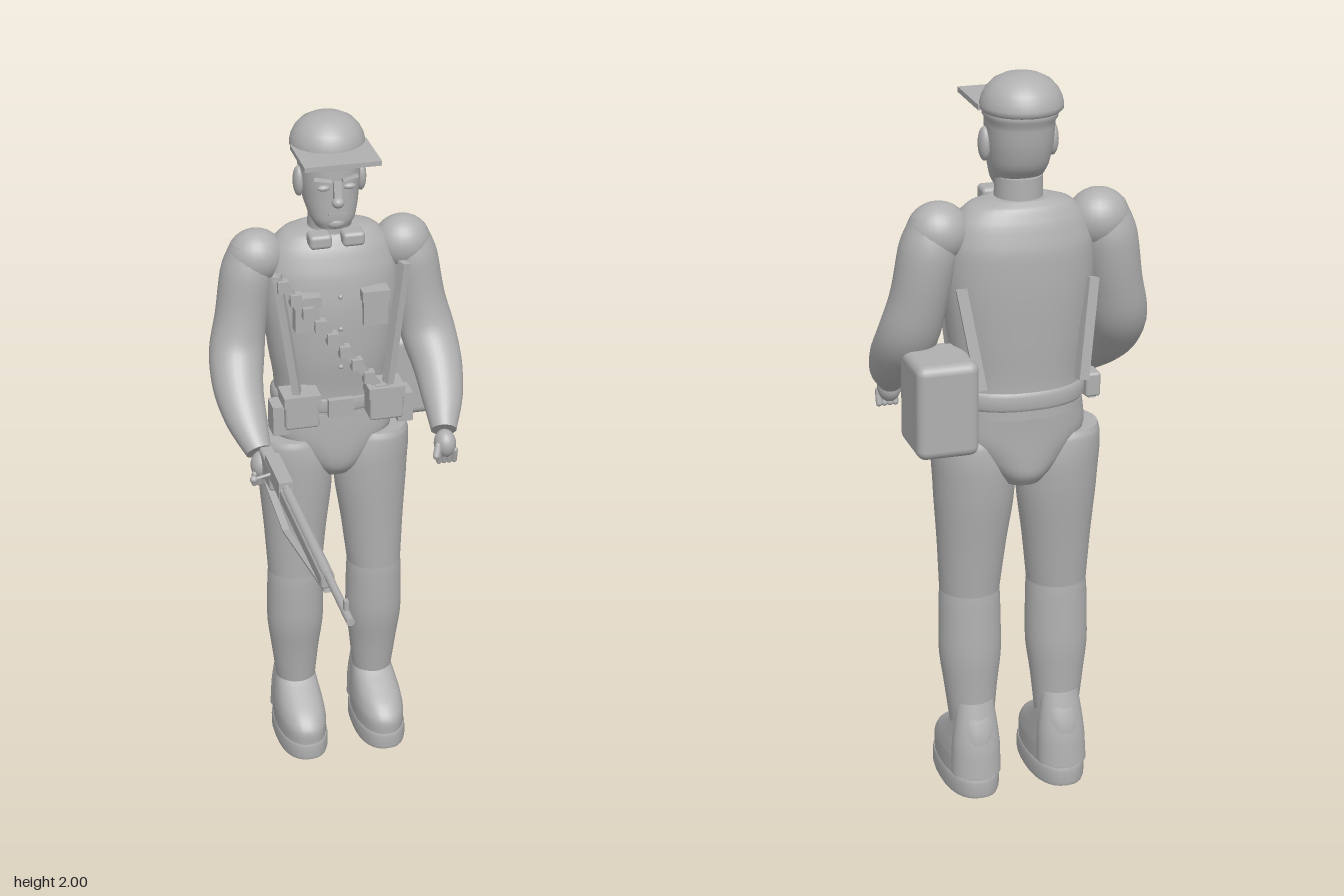
import * as THREE from 'three';
import { RoundedBoxGeometry } from 'three/addons/geometries/RoundedBoxGeometry.js';

const V = (x, y, z) => new THREE.Vector3(x, y, z);

export function createModel() {
  const grey = new THREE.MeshStandardMaterial({ color: 0xb0b0b0 });
  grey.name = 'plain grey';
  const model = new THREE.Group();

  const add = (name, geo, x = 0, y = 0, z = 0, parent = model) => {
    const m = new THREE.Mesh(geo, grey);
    m.name = name;
    m.position.set(x, y, z);
    parent.add(m);
    return m;
  };
  const box = (name, w, h, d, x, y, z, parent) => add(name, new THREE.BoxGeometry(w, h, d), x, y, z, parent);
  const soft = (name, w, h, d, r, x, y, z, parent) => add(name, new RoundedBoxGeometry(w, h, d, 3, r), x, y, z, parent);
  const ball = (name, rx, ry, rz, x, y, z, parent) => {
    const m = add(name, new THREE.SphereGeometry(1, 24, 16), x, y, z, parent);
    m.scale.set(rx, ry, rz);
    return m;
  };
  // straight part running from a to b
  const between = (name, geo, a, b, parent) => {
    const mid = a.clone().add(b).multiplyScalar(0.5);
    const m = add(name, geo, mid.x, mid.y, mid.z, parent);
    m.quaternion.setFromUnitVectors(V(0, 1, 0), b.clone().sub(a).normalize());
    return m;
  };
  const bar = (name, a, b, w, d, parent) => between(name, new THREE.BoxGeometry(w, a.distanceTo(b), d), a, b, parent);
  const rod = (name, a, b, r, parent) => between(name, new THREE.CylinderGeometry(r, r, a.distanceTo(b), 16), a, b, parent);

  // closed skin over rings [x, y, z, rx, rz]; flat rings run upward, bent ones stand square to the path
  const loft = (rings, { power = 2, bent = false, smooth = 4, seg = 32 } = {}) => {
    const path = new THREE.CatmullRomCurve3(rings.map(r => V(r[0], r[1], r[2])));
    const size = new THREE.CatmullRomCurve3(rings.map(r => V(r[3], r[4], 0)));
    const n = (rings.length - 1) * smooth;
    const pos = [], idx = [];
    const pow = v => Math.sign(v) * Math.abs(v) ** (2 / power);
    for (let i = 0; i <= n; i++) {
      const c = path.getPoint(i / n), s = size.getPoint(i / n);
      const t = bent ? path.getTangent(i / n) : V(0, 1, 0);
      const u = V(1, 0, 0).addScaledVector(t, -t.x).normalize();
      const w = t.clone().cross(u);
      for (let j = 0; j < seg; j++) {
        const a = j / seg * Math.PI * 2;
        const p = c.clone().addScaledVector(u, pow(Math.cos(a)) * s.x).addScaledVector(w, pow(Math.sin(a)) * s.y);
        pos.push(p.x, p.y, p.z);
      }
    }
    for (let i = 0; i < n; i++) for (let j = 0; j < seg; j++) {
      const k = (j + 1) % seg, a = i * seg + j, b = i * seg + k;
      idx.push(a, b, a + seg, b, b + seg, a + seg);
    }
    // end caps with their own corners for a sharp rim
    for (const end of [0, 1]) {
      const c = path.getPoint(end), base = pos.length / 3, from = end * n * seg * 3;
      pos.push(...pos.slice(from, from + seg * 3), c.x, c.y, c.z);
      for (let j = 0; j < seg; j++) {
        const k = (j + 1) % seg;
        idx.push(base + seg, base + (end ? j : k), base + (end ? k : j));
      }
    }
    const g = new THREE.BufferGeometry();
    g.setAttribute('position', new THREE.Float32BufferAttribute(pos, 3));
    g.setIndex(idx);
    g.computeVertexNormals();
    return g;
  };

  // torso and pelvis
  add('torso', loft([
    [0, 1.1, -0.555, 0.17, 0.115], [0, 1.18, -0.552, 0.168, 0.115], [0, 1.3, -0.548, 0.185, 0.125],
    [0, 1.45, -0.55, 0.2, 0.128], [0, 1.55, -0.555, 0.198, 0.12], [0, 1.62, -0.558, 0.175, 0.1],
    [0, 1.66, -0.56, 0.135, 0.08], [0, 1.675, -0.56, 0.08, 0.06]], { power: 2.2 }));
  add('pelvis', loft([
    [0, 0.905, -0.555, 0.06, 0.085], [0, 0.935, -0.553, 0.085, 0.108], [0, 0.98, -0.55, 0.13, 0.115],
    [0, 1.05, -0.55, 0.18, 0.115], [0, 1.12, -0.553, 0.172, 0.115]], { power: 2.2 }));
  add('belt', loft([
    [0, 1.125, -0.555, 0.17, 0.115], [0, 1.135, -0.555, 0.178, 0.121], [0, 1.165, -0.555, 0.178, 0.121],
    [0, 1.175, -0.555, 0.17, 0.115]], { power: 2.2, smooth: 1 }));
  box('buckle', 0.075, 0.055, 0.02, 0, 1.148, -0.428);
  for (const y of [1.28, 1.4, 1.5]) ball('coatButton', 0.007, 0.007, 0.007, 0, y, -0.422);

  // neck, head and cap
  add('neck', new THREE.CylinderGeometry(0.062, 0.065, 0.12, 32), 0, 1.67, -0.55);
  add('head', loft([
    [0, 1.69, -0.515, 0.05, 0.05], [0, 1.715, -0.52, 0.064, 0.064], [0, 1.76, -0.54, 0.077, 0.085],
    [0, 1.82, -0.55, 0.085, 0.094], [0, 1.88, -0.555, 0.088, 0.097], [0, 1.92, -0.56, 0.088, 0.097]], { power: 2.3 }));
  const dome = [[0.0001, 1.905], [0.1, 1.905], [0.107, 1.912], [0.107, 1.922], [0.103, 1.94], [0.093, 1.96],
    [0.075, 1.98], [0.05, 1.993], [0.025, 1.999], [0.0001, 2]].map(p => new THREE.Vector2(...p));
  add('cap', new THREE.LatheGeometry(dome, 40), 0, 0, -0.57);
  box('capVisor', 0.22, 0.014, 0.18, 0, 1.913, -0.467);
  ball('noseTip', 0.018, 0.016, 0.018, 0, 1.78, -0.443);
  bar('noseBridge', V(0, 1.785, -0.447), V(0, 1.84, -0.458), 0.022, 0.02);
  box('mouth', 0.05, 0.008, 0.012, 0, 1.74, -0.459);
  ball('chin', 0.03, 0.02, 0.02, 0, 1.71, -0.473);

  for (const s of [-1, 1]) {
    const side = s > 0 ? 'left' : 'right';
    const P = (x, y, z) => V(s * x, y, z);
    const ring = r => [s * r[0], ...r.slice(1)];

    // face and collar
    ball(side + 'Ear', 0.016, 0.045, 0.026, s * 0.09, 1.815, -0.545);
    ball(side + 'Eye', 0.018, 0.009, 0.01, s * 0.037, 1.82, -0.46);
    bar(side + 'Brow', P(0.015, 1.841, -0.455), P(0.062, 1.846, -0.468), 0.01, 0.014);
    soft(side + 'CollarTab', 0.065, 0.042, 0.06, 0.012, s * 0.048, 1.66, -0.475);

    // arm and shoulder
    ball(side + 'Shoulder', 0.083, 0.08, 0.076, s * 0.215, 1.595, -0.555);
    add(side + 'Arm', loft([
      [0.225, 1.63, -0.555, 0.06, 0.06], [0.243, 1.54, -0.555, 0.077, 0.079], [0.264, 1.42, -0.545, 0.075, 0.076],
      [0.284, 1.32, -0.52, 0.08, 0.075], [0.296, 1.24, -0.455, 0.073, 0.068],
      [0.29, 1.17, -0.375, 0.06, 0.054], [0.273, 1.105, -0.295, 0.037, 0.036]].map(ring), { bent: true }));

    // hand with curled fingers
    const hand = new THREE.Group();
    hand.name = side + 'Hand';
    model.add(hand);
    ball('palm', 0.032, 0.042, 0.038, s * 0.27, 1.075, -0.27, hand);
    for (let i = 0; i < 4; i++) {
      const x = 0.25 + i * 0.015;
      between('finger', new THREE.CapsuleGeometry(0.009, 0.035, 4, 10),
        P(x, 1.065, -0.25), P(x, 1.018, -0.262), hand);
    }
    between('thumb', new THREE.CapsuleGeometry(0.011, 0.03, 4, 10), P(0.248, 1.085, -0.255), P(0.235, 1.045, -0.238), hand);

    // leg: thigh, shin and boot
    add(side + 'Thigh', loft([
      [0.122, 0.58, -0.526, 0.081, 0.08], [0.118, 0.72, -0.532, 0.093, 0.09], [0.114, 0.86, -0.538, 0.108, 0.102],
      [0.117, 0.95, -0.54, 0.111, 0.106], [0.128, 1.015, -0.54, 0.1, 0.102],
      [0.13, 1.035, -0.54, 0.092, 0.094]].map(ring)));
    add(side + 'Shin', loft([
      [0.12, 0.18, -0.547, 0.058, 0.06], [0.122, 0.3, -0.54, 0.072, 0.07], [0.122, 0.42, -0.532, 0.085, 0.082],
      [0.122, 0.55, -0.527, 0.083, 0.081], [0.122, 0.6, -0.526, 0.079, 0.078]].map(ring)));
    add(side + 'Sole', loft([
      [0.122, 0, -0.495, 0.074, 0.152], [0.122, 0.01, -0.495, 0.077, 0.155], [0.122, 0.042, -0.495, 0.077, 0.155],
      [0.122, 0.052, -0.495, 0.074, 0.152]].map(ring), { power: 2.4, smooth: 1 }));
    add(side + 'Boot', loft([
      [0.122, 0.045, -0.495, 0.073, 0.15], [0.122, 0.09, -0.495, 0.074, 0.15], [0.122, 0.13, -0.51, 0.071, 0.132],
      [0.121, 0.165, -0.537, 0.065, 0.102], [0.12, 0.2, -0.562, 0.059, 0.068],
      [0.12, 0.25, -0.575, 0.05, 0.036]].map(ring), { power: 2.3 }));
    add(side + 'HeelPatch', loft([
      [0.122, 0.06, -0.593, 0.068, 0.058], [0.121, 0.14, -0.587, 0.066, 0.056],
      [0.12, 0.265, -0.58, 0.05, 0.03]].map(ring)));

    // harness, pockets and belt pouches
    bar(side + 'FrontStrap', P(0.185, 1.59, -0.415), P(0.132, 1.2, -0.405), 0.022, 0.03);
    bar(side + 'BackStrap', P(0.175, 1.46, -0.628), P(0.135, 1.2, -0.675), 0.03, 0.028);
    box(side + 'Pocket', 0.07, 0.1, 0.04, s * 0.1, 1.458, -0.427);
    box(side + 'PocketFlap', 0.08, 0.032, 0.05, s * 0.1, 1.5, -0.424);
    soft(side + 'Pouch', 0.1, 0.095, 0.08, 0.008, s * 0.125, 1.165, -0.415);
    box(side + 'PouchFlap', 0.108, 0.032, 0.088, s * 0.125, 1.205, -0.415);
    box(side + 'HipPouch', 0.045, 0.09, 0.07, s * 0.185, 1.14, -0.43);
  }

  // diagonal bandolier with cartridge loops
  const from = V(-0.19, 1.585, -0.41), to = V(0.165, 1.14, -0.41);
  bar('bandolier', from, to, 0.024, 0.024);
  for (let i = 0; i < 10; i++) {
    const p = from.clone().lerp(to, (i + 0.5) / 10);
    box('cartridgeLoop', 0.032, 0.034, 0.03, p.x, p.y, -0.4);
  }

  // side pack
  soft('pack', 0.165, 0.255, 0.185, 0.025, 0.233, 1.163, -0.628);

  // rifle
  const rifle = new THREE.Group();
  rifle.name = 'rifle';
  model.add(rifle);
  const X = -0.255;
  rod('barrel', V(X, 1.128, 0.72), V(X, 1.128, -0.1), 0.011, rifle);
  box('frontSight', 0.012, 0.035, 0.018, X, 1.148, 0.67, rifle);
  soft('foreStock', 0.038, 0.042, 0.5, 0.008, X, 1.108, 0.225, rifle);
  rod('handguard', V(X, 1.126, 0.475), V(X, 1.126, 0), 0.015, rifle);
  box('receiver', 0.04, 0.05, 0.18, X, 1.12, -0.11, rifle);
  soft('grip', 0.042, 0.075, 0.14, 0.01, X, 1.093, -0.21, rifle);
  soft('butt', 0.042, 0.068, 0.17, 0.008, X, 1.078, -0.345, rifle);
  rod('boltHandle', V(X, 1.118, -0.137), V(-0.315, 1.105, -0.137), 0.005, rifle);
  ball('boltKnob', 0.011, 0.011, 0.011, -0.322, 1.104, -0.137, rifle);
  const sling = [V(X, 1.08, 0.475), V(X, 0.988, -0.03), V(X, 1.042, -0.42)];
  for (let i = 0; i < 2; i++) bar('sling', sling[i], sling[i + 1], 0.02, 0.006, rifle);

  return model;
}
